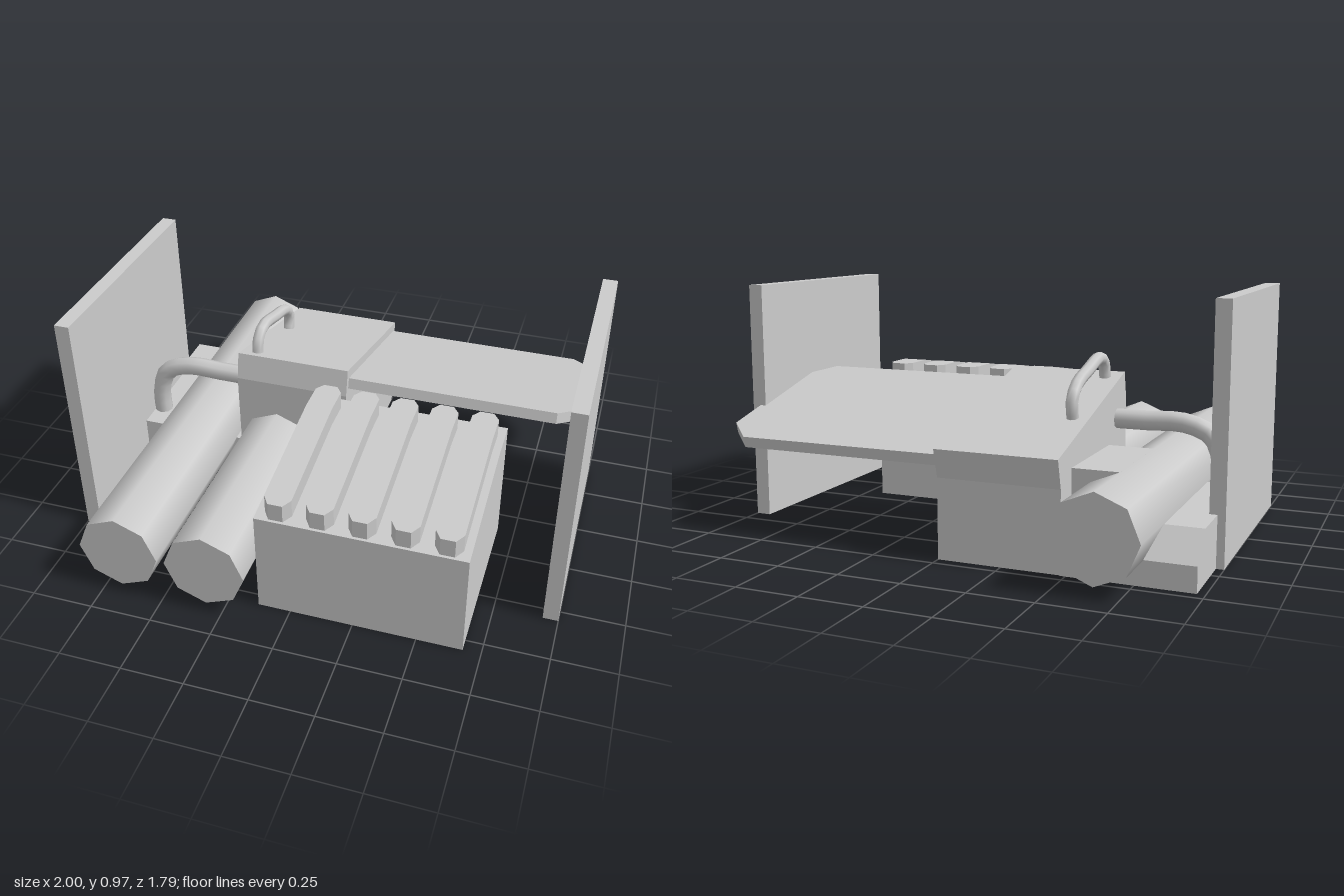
import * as THREE from 'three';

const flat = new THREE.MeshStandardMaterial({ color: 0xcccccc, flatShading: true, side: THREE.DoubleSide });
const smooth = new THREE.MeshStandardMaterial({ color: 0xcccccc });

// Skin a list of equal-length rings; skipEdge leaves one side open
function loft(rings, skipEdge = -1) {
  const out = [];
  const tri = (...pts) => pts.forEach((p) => out.push(...p));
  const n = rings[0].length;
  for (let i = 0; i < rings.length - 1; i++) {
    for (let j = 0; j < n; j++) {
      if (j === skipEdge) continue;
      const k = (j + 1) % n;
      const [a, b, c, d] = [rings[i][j], rings[i][k], rings[i + 1][k], rings[i + 1][j]];
      tri(a, d, c);
      tri(a, c, b);
    }
  }
  const first = rings[0], last = rings[rings.length - 1];
  for (let j = 1; j < n - 1; j++) {
    tri(first[0], first[j], first[j + 1]);
    tri(last[0], last[j + 1], last[j]);
  }
  const geo = new THREE.BufferGeometry();
  geo.setAttribute('position', new THREE.Float32BufferAttribute(out, 3));
  geo.computeVertexNormals();
  return geo;
}

// Side profile of [z, y] points carried from x0 to x1
const prism = (profile, x0, x1, skipEdge) =>
  loft([x0, x1].map((x) => profile.map(([z, y]) => [x, y, z])), skipEdge);

function boxBetween(x0, x1, y0, y1, z0, z1) {
  return new THREE.BoxGeometry(x1 - x0, y1 - y0, z1 - z0)
    .translate((x0 + x1) / 2, (y0 + y1) / 2, (z0 + z1) / 2);
}

function tube(points, radius) {
  const curve = new THREE.CatmullRomCurve3(points.map((p) => new THREE.Vector3(...p)));
  return new THREE.TubeGeometry(curve, 14, radius, 8);
}

export function createModel() {
  const model = new THREE.Group();
  const add = (name, geometry, material = flat) => {
    const mesh = new THREE.Mesh(geometry, material);
    mesh.name = name;
    model.add(mesh);
    return mesh;
  };
  const slope = Math.atan(0.265);

  // Upright plates on both sides
  add('rightSidePlate', boxBetween(-1, -0.94, 0, 0.97, -0.42, 0.55));
  add('leftSidePlate', boxBetween(0.94, 1, 0, 0.97, -0.42, 0.55));

  // Long and short eight-sided cylinders
  for (const [name, x, z0, z1] of [['longCylinder', -0.665, -0.9, 0.89], ['shortCylinder', -0.31, -0.62, 0.89]]) {
    const geo = new THREE.CylinderGeometry(0.162, 0.162, z1 - z0, 8).rotateX(Math.PI / 2);
    add(name, geo.translate(x, 0.205, (z0 + z1) / 2), smooth);
  }

  // Low base with a bevelled rear edge
  add('base', prism([[0.06, 0], [0.06, 0.2], [-0.61, 0.2], [-0.71, 0.095], [-0.71, 0]], -0.97, -0.48));

  // Block joining the long cylinder to the housing
  add('cylinderLink', boxBetween(-0.66, -0.48, 0.1, 0.365, -0.595, -0.16));

  // Housing with a sloping hood, open underneath
  add('housing', prism(
    [[0.06, 0.52], [0.035, 0.63], [-0.735, 0.422], [-0.705, 0.31], [-0.705, 0], [0.06, 0]], -0.48, 0, 4));

  // Sloping flap with clipped outer corners
  const plan = [[0, 0], [0.86, 0], [0.965, 0.11], [0.965, 0.63], [0.85, 0.745], [0, 0.745]];
  const flap = add('flap', new THREE.ExtrudeGeometry(
    new THREE.Shape(plan.map((p) => new THREE.Vector2(...p))),
    { depth: 0.045, bevelEnabled: false }).rotateX(-Math.PI / 2));
  flap.rotation.x = -slope;
  flap.position.set(0, 0.542, 0.03);

  // Front block, open underneath
  add('frontBlock', prism([[0.8, 0], [0.8, 0.44], [0.27, 0.525], [0.09, 0.525], [0.09, 0]], -0.13, 0.68, 4));

  // Five bent ribs with narrowed ends on the front block
  const stations = [[0.115, 0.028, 0.6], [0.15, 0.053, 0.6], [0.27, 0.053, 0.6], [0.755, 0.053, 0.521], [0.79, 0.028, 0.515]];
  for (let i = 0; i < 5; i++) {
    const x = -0.047 + i * 0.161;
    add('rib' + (i + 1), loft(stations.map(([z, w, y]) => [
      [x + w, y - 0.085, z], [x - w, y - 0.085, z], [x - w, y, z], [x + w, y, z],
    ])));
  }

  // Bent pipe from the base into the housing
  add('pipe', tube([[-0.905, 0.15, -0.06], [-0.905, 0.31, -0.06], [-0.865, 0.41, -0.06],
    [-0.76, 0.455, -0.06], [-0.6, 0.455, -0.06], [-0.46, 0.455, -0.06]], 0.04), smooth);

  // Arched handle standing square to the hood
  const arch = [[0.06, -0.03], [0.06, 0.06], [0.11, 0.1], [0.25, 0.105], [0.39, 0.1], [0.45, 0.06], [0.455, -0.03]];
  const c = Math.cos(slope), s = Math.sin(slope);
  add('handle', tube(arch.map(([u, h]) => [-0.415, 0.63 - u * s + h * c, 0.035 - u * c - h * s]), 0.025), smooth);

  return model;
}
